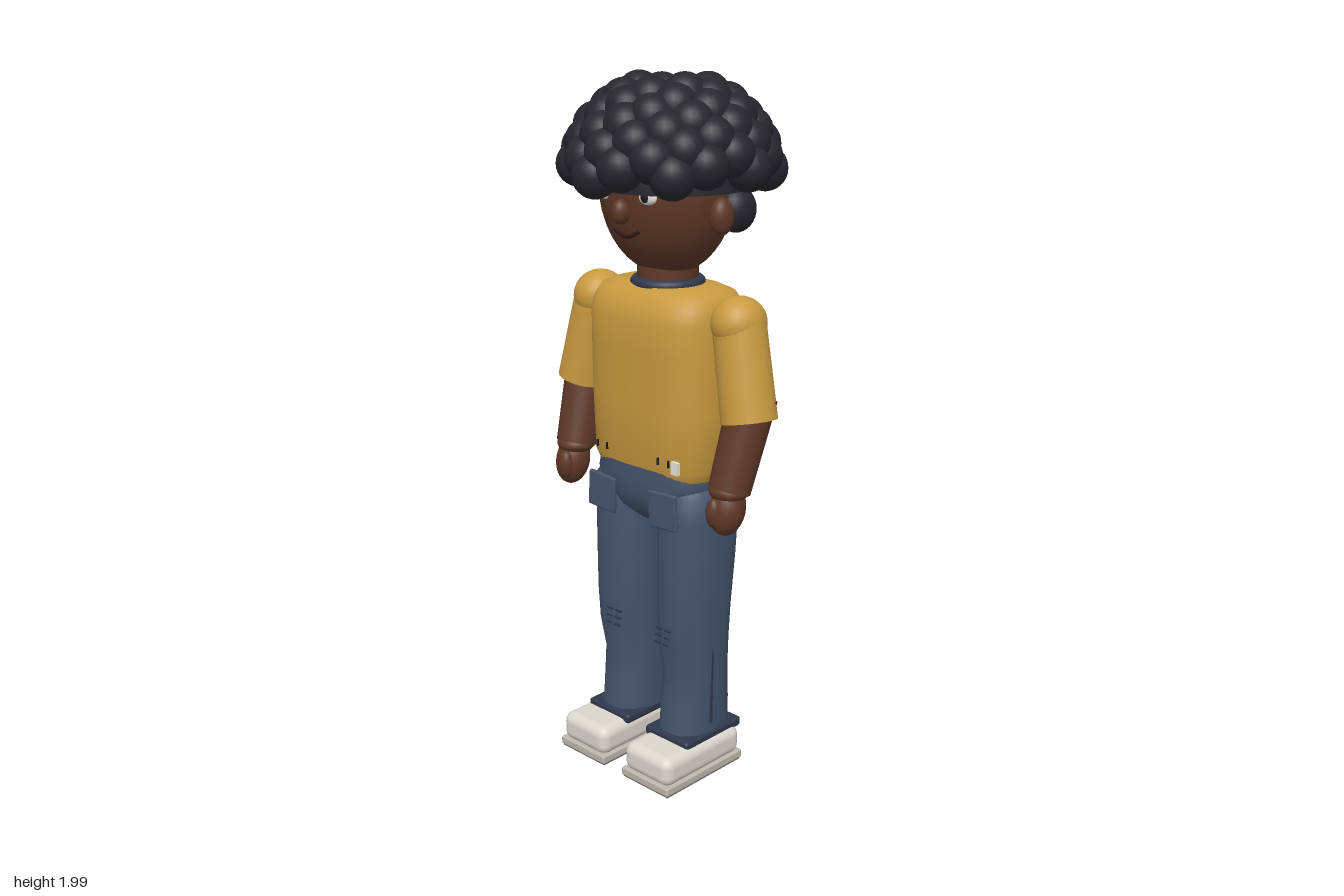
import * as THREE from 'three';
import { toCreasedNormals } from 'three/addons/utils/BufferGeometryUtils.js';
import { RoundedBoxGeometry } from 'three/addons/geometries/RoundedBoxGeometry.js';

const mat = (color) => new THREE.MeshStandardMaterial({ color });
const V = (x, y, z) => new THREE.Vector3(x, y, z);

// Closed loft through super-ellipse rings [y, centreX, centreZ, radiusX, radiusZ], bottom to top
function loft(rings, power = 2, n = 40) {
  const pos = [], idx = [];
  for (const [y, cx, cz, rx, rz] of rings) {
    for (let j = 0; j < n; j++) {
      const a = (j / n) * Math.PI * 2, c = Math.cos(a), s = Math.sin(a);
      pos.push(cx + rx * Math.sign(c) * Math.abs(c) ** (2 / power), y, cz + rz * Math.sign(s) * Math.abs(s) ** (2 / power));
    }
  }
  const last = (rings.length - 1) * n, bottom = rings.length * n;
  for (const r of [rings[0], rings[rings.length - 1]]) pos.push(r[1], r[0], r[2]);
  for (let j = 0; j < n; j++) {
    const k = (j + 1) % n;
    for (let o = 0; o < last; o += n) idx.push(o + j, o + n + j, o + k, o + k, o + n + j, o + n + k);
    idx.push(bottom, j, k, bottom + 1, last + k, last + j);
  }
  const g = new THREE.BufferGeometry();
  g.setAttribute('position', new THREE.Float32BufferAttribute(pos, 3));
  g.setIndex(idx);
  return toCreasedNormals(g, 0.9);
}

export function createModel() {
  const root = new THREE.Group();
  const skin = mat(0x5e3828), shirt = mat(0xc89a40), denim = mat(0x45546b), darkDenim = mat(0x2f384c);
  const hair = mat(0x28262e), shoe = mat(0xdcd7ce), sole = mat(0xbdb8ae), dark = mat(0x1c1a1e), white = mat(0xe6e2da);
  const lips = mat(0x2c1712);

  const add = (name, geo, material, p = [0, 0, 0], parent = root) => {
    const m = new THREE.Mesh(geo, material);
    m.name = name;
    m.position.set(...p);
    parent.add(m);
    return m;
  };
  const ball = (name, material, p, r, parent) => {
    const m = add(name, new THREE.SphereGeometry(1, 28, 20), material, p, parent);
    m.scale.set(...r);
    return m;
  };
  const box = (name, material, p, size, parent) => add(name, new THREE.BoxGeometry(...size), material, p, parent);
  // Tapered cylinder from a down to b
  const limb = (name, material, a, b, ra, rb, parent) => {
    const d = a.clone().sub(b);
    const m = add(name, new THREE.CylinderGeometry(ra, rb, d.length(), 28), material, a.clone().add(b).multiplyScalar(0.5).toArray(), parent);
    m.quaternion.setFromUnitVectors(V(0, 1, 0), d.normalize());
    return m;
  };

  // Head and face
  ball('head', skin, [0, 1.69, 0.018], [0.2, 0.245, 0.172]);
  ball('nose', skin, [0, 1.635, 0.192], [0.025, 0.034, 0.028]);
  const smile = new THREE.QuadraticBezierCurve3(V(-0.045, 1.585, 0.169), V(0, 1.55, 0.184), V(0.045, 1.585, 0.169));
  add('mouth', new THREE.TubeGeometry(smile, 16, 0.005, 8), lips);
  for (const s of [-1, 1]) {
    ball('ear', skin, [s * 0.205, 1.625, 0.025], [0.03, 0.05, 0.035]);
    ball('eye', white, [s * 0.078, 1.678, 0.172], [0.034, 0.02, 0.012]);
    ball('pupil', dark, [s * 0.078, 1.679, 0.181], [0.014, 0.015, 0.007]);
  }
  add('neck', new THREE.CylinderGeometry(0.085, 0.085, 0.12, 32), skin, [0, 1.44, 0.015]);
  const collar = add('collar', new THREE.TorusGeometry(0.088, 0.016, 12, 40), darkDenim, [0, 1.427, 0.015]);
  collar.rotation.x = Math.PI / 2;

  // Hair: a scalp cap covered by a spiral of round curls
  const curls = new THREE.Group();
  curls.name = 'hair';
  root.add(curls);
  const cap = add('scalp', new THREE.SphereGeometry(1, 40, 16, 0, Math.PI * 2, 0, Math.PI / 2), hair, [0, 1.685, 0], curls);
  cap.scale.set(0.222, 0.245, 0.212);
  cap.material = hair.clone();
  cap.material.side = THREE.DoubleSide;
  const curlGeo = new THREE.SphereGeometry(0.062, 22, 16);
  const count = 68;
  for (let i = 0; i < count; i++) {
    const h = 0.94 - 0.83 * (i / (count - 1)), r = 0.255 * Math.sqrt(1 - h * h), a = i * 2.39996 + 0.4;
    add('curl', curlGeo, hair, [r * Math.cos(a), 1.702 + 0.24 * h, r * Math.sin(a) * 0.99], curls);
  }
  for (const s of [-1, 1]) {
    const tuft = add('sideCurl', curlGeo, hair, [s * 0.19, 1.635, -0.05], curls);
    tuft.scale.set(0.8, 1, 0.95);
  }

  // Shirt body
  add('shirt', loft([
    [0.9, 0, 0.025, 0.2, 0.125], [0.93, 0, 0.025, 0.215, 0.135], [1.1, 0, 0.023, 0.22, 0.142],
    [1.25, 0, 0.018, 0.222, 0.15], [1.34, 0, 0.015, 0.22, 0.157], [1.38, 0, 0.015, 0.214, 0.146],
    [1.41, 0, 0.015, 0.198, 0.125], [1.425, 0, 0.015, 0.165, 0.095],
  ], 3), shirt);
  box('shirtTag', white, [0.158, 0.95, 0.15], [0.025, 0.036, 0.012]);
  for (const s of [-1, 1]) for (const x of [0.1, 0.14]) box('shirtStitch', dark, [s * x, 0.96, 0.158], [0.004, 0.02, 0.006]);

  // Trousers: hips, patch pockets, legs, cuffs
  add('hips', loft([
    [0.755, 0, 0.025, 0.055, 0.08], [0.79, 0, 0.025, 0.11, 0.118], [0.84, 0, 0.025, 0.18, 0.134],
    [0.88, 0, 0.025, 0.204, 0.137], [0.925, 0, 0.025, 0.192, 0.136],
  ], 2.8), denim);
  for (const s of [-1, 1]) {
    const pocket = add('pocket', new RoundedBoxGeometry(0.105, 0.105, 0.014, 2, 0.005), denim, [s * 0.12, 0.82, 0.159]);
    pocket.rotation.z = s * 0.06;

    const leg = new THREE.Group();
    leg.name = 'leg';
    root.add(leg);
    add('trouserLeg', loft([
      [0.11, s * 0.118, 0.03, 0.082, 0.11], [0.2, s * 0.118, 0.026, 0.083, 0.106], [0.3, s * 0.12, 0.025, 0.085, 0.094],
      [0.4, s * 0.121, 0.034, 0.088, 0.106], [0.5, s * 0.122, 0.034, 0.09, 0.112], [0.65, s * 0.123, 0.027, 0.096, 0.117],
      [0.78, s * 0.123, 0.022, 0.1, 0.12], [0.85, s * 0.126, 0.022, 0.096, 0.118], [0.88, s * 0.13, 0.022, 0.07, 0.095],
    ], 2.3), denim, [0, 0, 0], leg);
    add('cuff', new RoundedBoxGeometry(0.17, 0.03, 0.235, 2, 0.01), darkDenim, [s * 0.12, 0.113, 0.033], leg);
    const seam = box('sideSeam', darkDenim, [s * 0.203, 0.34, 0.045], [0.008, 0.37, 0.007], leg);
    seam.rotation.z = -s * 0.02;
    for (let i = 0; i < 3; i++) for (const dx of [-0.017, 0.017])
      box('kneeTear', darkDenim, [s * 0.1 + dx + (i - 1) * 0.005, 0.405 + i * 0.024, 0.139 + i * 0.002], [0.022, 0.006, 0.006], leg);

    // Shoes
    box('soleBottom', mat(0x77746d), [s * 0.13, 0.004, 0.09], [0.176, 0.008, 0.308], leg);
    add('sole', new RoundedBoxGeometry(0.186, 0.026, 0.32, 2, 0.006), sole, [s * 0.13, 0.018, 0.09], leg);
    add('shoeUpper', new RoundedBoxGeometry(0.182, 0.088, 0.314, 5, 0.03), shoe, [s * 0.13, 0.068, 0.09], leg);

    // Arms
    const arm = new THREE.Group();
    arm.name = 'arm';
    root.add(arm);
    const shoulder = V(s * 0.266, 1.35, 0.02), elbow = V(s * 0.322, 1.095, 0.037), wrist = V(s * 0.303, 0.91, 0.092);
    ball('shoulder', shirt, shoulder.toArray(), [0.073, 0.073, 0.08], arm);
    limb('sleeve', shirt, shoulder, elbow, 0.073, 0.077, arm);
    limb('forearm', skin, V(s * 0.318, 1.16, 0.017), wrist, 0.066, 0.058, arm);
    ball('wrist', skin, wrist.toArray(), [0.056, 0.03, 0.056], arm);
    const hand = ball('hand', skin, [s * 0.306, 0.86, 0.103], [0.05, 0.073, 0.05], arm);
    hand.rotation.x = -0.25;
    ball('thumb', skin, [s * 0.293, 0.855, 0.142], [0.023, 0.042, 0.022], arm);
  }
  return root;
}
